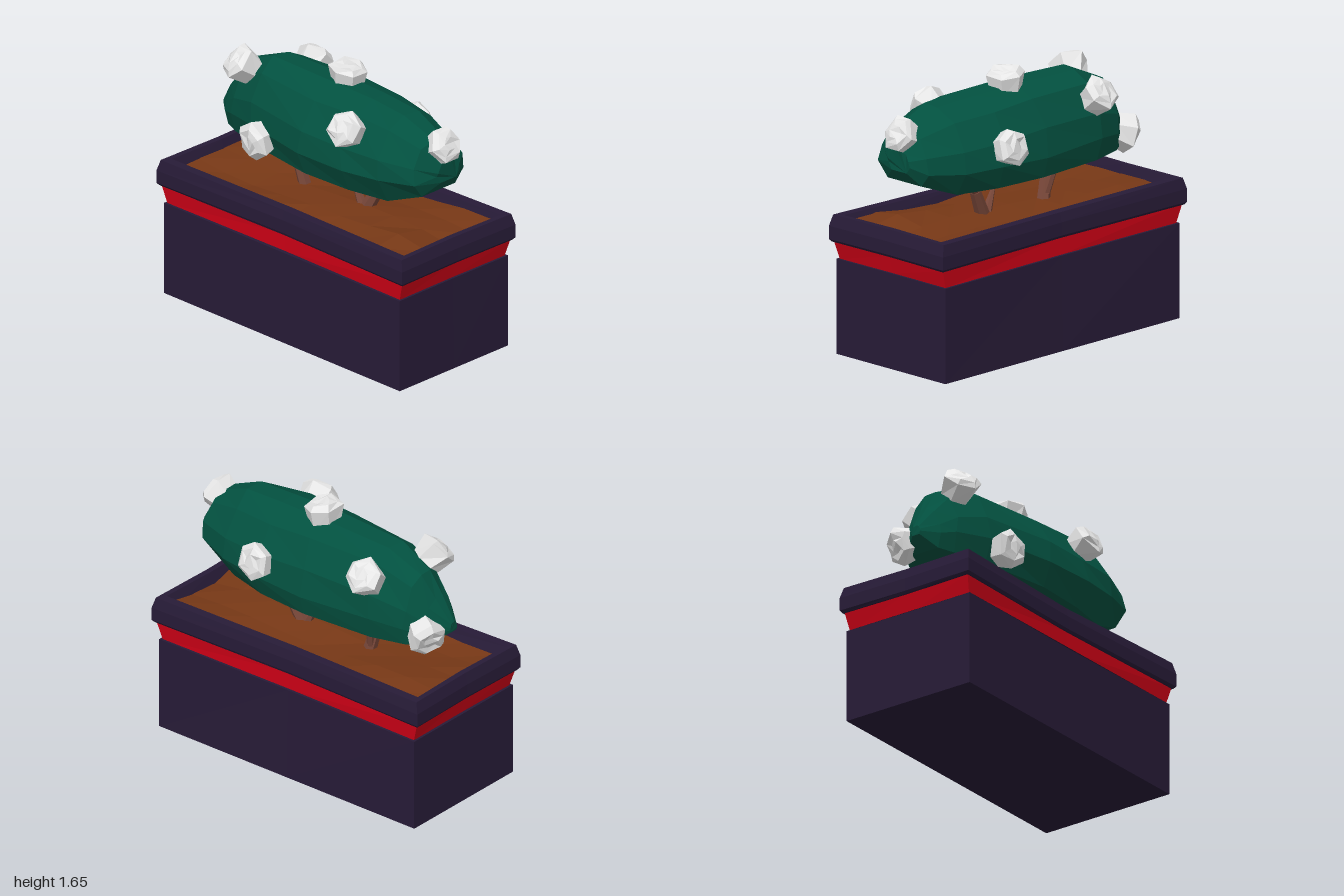
import * as THREE from 'three';

const mat = (name, color) => {
  const m = new THREE.MeshStandardMaterial({ color, flatShading: true });
  m.name = name;
  return m;
};

// Skin a list of equally sized point rings, with optional flat end caps
function loft(rings, capped = true) {
  const pos = [];
  const tri = (a, b, c) => pos.push(...a, ...b, ...c);
  const n = rings[0].length;
  for (let i = 0; i < rings.length - 1; i++) {
    for (let j = 0; j < n; j++) {
      const k = (j + 1) % n;
      tri(rings[i][j], rings[i][k], rings[i + 1][k]);
      tri(rings[i][j], rings[i + 1][k], rings[i + 1][j]);
    }
  }
  const last = rings[rings.length - 1];
  for (let j = 1; capped && j < n - 1; j++) {
    tri(rings[0][0], rings[0][j + 1], rings[0][j]);
    tri(last[0], last[j], last[j + 1]);
  }
  const g = new THREE.BufferGeometry();
  g.setAttribute('position', new THREE.Float32BufferAttribute(pos, 3));
  g.computeVertexNormals();
  return g;
}

// Rectangular ring whose long sides bow inward and may sag at the middle
const CORNERS = [[-1, 1], [0, 1], [1, 1], [1, 0], [1, -1], [0, -1], [-1, -1], [-1, 0]];
const rectRing = (hx, hz, y, bow = 0, sag = 0) => CORNERS.map(([x, z]) =>
  [x * (z === 0 ? hx - bow * 0.4 : hx), x === 0 ? y - sag : y, z * (x === 0 ? hz - bow : hz)]);

function random(seed) {
  let s = seed * 7919 + 13;
  return () => (s = (s * 16807) % 2147483647) / 2147483647 - 0.5;
}

// Tapered branch between two points
function branch(a, b, r0, r1) {
  const from = new THREE.Vector3(...a), dir = new THREE.Vector3(...b).sub(from);
  const g = new THREE.CylinderGeometry(r1, r0, dir.length(), 6);
  g.translate(0, dir.length() / 2, 0);
  g.applyQuaternion(new THREE.Quaternion().setFromUnitVectors(
    new THREE.Vector3(0, 1, 0), dir.clone().normalize()));
  return g.translate(...a);
}

// Chunky faceted blossom with a shallow crumpled top, pointing up +y
function blossomGeometry(seed) {
  const rnd = random(seed);
  rnd(); rnd();
  const profile = [[0.09, -0.1], [0.116, 0.025], [0.085, 0.052], [0.042, 0.056]];
  return loft(profile.map(([r, y], i) => Array.from({ length: 6 }, (_, j) => {
    const a = j * Math.PI / 3 + rnd() * 0.25;
    const rr = r * (1 + rnd() * 0.12);
    return [Math.sin(a) * rr, y + rnd() * (i > 1 ? 0.022 : 0.012), Math.cos(a) * rr];
  })));
}

export function createModel() {
  const root = new THREE.Group();
  const planterPurple = mat('planter purple', 0x271b37);
  const bandRed = mat('band red', 0xd00016);
  const soilBrown = mat('soil brown', 0x773816);
  const barkBrown = mat('bark brown', 0x7a483a);
  const leafGreen = mat('leaf green', 0x035140);
  const blossomWhite = mat('blossom white', 0xe6e6e6);
  const add = (name, geometry, material, parent = root) => {
    const m = new THREE.Mesh(geometry, material);
    m.name = name;
    parent.add(m);
    return m;
  };

  // Planter body, red band and bevelled hollow rim
  add('planterBody', loft([rectRing(0.96, 0.445, 0), rectRing(0.96, 0.445, 0.573, 0.008)]), planterPurple);
  add('redBand', loft([
    rectRing(0.945, 0.43, 0.57, 0.01),
    rectRing(0.98, 0.445, 0.685, 0.02),
  ], false), bandRed);
  add('rim', loft([
    rectRing(0.9, 0.38, 0.68, 0.02),
    rectRing(0.988, 0.453, 0.68, 0.02),
    rectRing(1.0, 0.465, 0.695, 0.025),
    rectRing(1.0, 0.465, 0.775, 0.025),
    rectRing(0.98, 0.45, 0.842, 0.025, 0.01),
    rectRing(0.945, 0.395, 0.842, 0.03, 0.01),
    rectRing(0.91, 0.355, 0.76, 0.015),
  ], false), planterPurple);

  // Lumpy soil
  const soil = new THREE.PlaneGeometry(1.88, 0.8, 8, 4).rotateX(-Math.PI / 2);
  const p = soil.attributes.position;
  for (let i = 0; i < p.count; i++) {
    const x = p.getX(i), z = p.getZ(i);
    const mound = 0.06 * Math.exp(-((x - 0.66) ** 2 + (z - 0.18) ** 2) / 0.05);
    p.setY(i, 0.785 + mound + 0.014 * Math.sin(x * 5.3 + z * 7) + 0.01 * Math.cos(z * 9 - x * 3));
  }
  add('soil', soil, soilBrown);

  // Forked trunks
  const trunks = new THREE.Group();
  trunks.name = 'trunks';
  root.add(trunks);
  [
    [[-0.27, 0.76, -0.02], [-0.31, 0.92, 0.0], 0.04, 0.033],
    [[-0.31, 0.92, 0.0], [-0.35, 1.06, 0.035], 0.033, 0.022],
    [[-0.28, 0.78, -0.02], [-0.33, 1.06, -0.09], 0.026, 0.02],
    [[0.22, 0.76, -0.02], [0.32, 0.95, -0.05], 0.045, 0.033],
    [[0.32, 0.95, -0.05], [0.44, 1.06, -0.09], 0.028, 0.018],
    [[0.32, 0.95, -0.05], [0.29, 1.06, -0.06], 0.025, 0.016],
    [[0.2, 0.78, -0.02], [0.115, 0.96, -0.01], 0.034, 0.006],
  ].forEach((args, i) => add('branch' + (i + 1), branch(...args), barkBrown, trunks));

  // Bush: cross-sections along x as [x, centre z, half width, bottom y, top y, bottom width]
  const outline = [[-0.88, 0], [-1, 0.26], [-0.93, 0.54], [-0.63, 0.86], [-0.2, 0.99],
    [0.2, 1], [0.62, 0.87], [0.95, 0.54], [1, 0.3], [0.84, 0]];
  const sections = [
    [-0.885, 0.0, 0.03, 1.09, 1.15, 1],
    [-0.79, -0.02, 0.13, 1.02, 1.29, 1],
    [-0.69, -0.03, 0.19, 1.015, 1.43, 1],
    [-0.47, -0.03, 0.26, 1.015, 1.53, 1],
    [0.0, -0.01, 0.32, 1.015, 1.54, 1],
    [0.34, -0.005, 0.318, 1.015, 1.535, 0.93],
    [0.61, 0.005, 0.28, 1.015, 1.52, 0.8],
    [0.84, 0.01, 0.2, 1.1, 1.43, 0.8],
    [0.905, -0.01, 0.09, 1.18, 1.31, 0.8],
  ];
  const rnd = random(5);
  const lastPoint = outline.length - 1;
  add('bush', loft(sections.map(([x, zc, hw, y0, y1, bw]) => outline.map(([u, v], i) => {
    const floor = i === 0 || i === lastPoint;
    const j = floor ? 0 : Math.min(0.03, hw * 0.1);
    return [x + rnd() * j * 1.5, y0 + v * (y1 - y0) + (v > 0.95 ? 0 : rnd() * j),
      zc + u * hw * (floor ? bw : 1) + rnd() * j * 0.5];
  }))), leafGreen);

  // Blossoms: position and the direction each one faces
  const blossoms = new THREE.Group();
  blossoms.name = 'blossoms';
  root.add(blossoms);
  [
    [[-0.64, 1.47, 0.14], [-0.35, 0.65, 0.65]],
    [[0.06, 1.58, -0.04], [0.08, 1, -0.03]],
    [[0.37, 1.425, 0.29], [0.05, 0.55, 0.85]],
    [[0.875, 1.39, 0], [0.85, 0.5, 0]],
    [[-0.37, 1.11, 0.28], [-0.05, -0.08, 1]],
    [[-0.81, 1.09, -0.15], [-0.85, -0.35, -0.4]],
    [[-0.46, 1.42, -0.29], [-0.1, 0.65, -0.75]],
    [[0.32, 1.27, -0.34], [0.05, 0.3, -0.95]],
  ].forEach(([at, dir], i) => {
    const b = add('blossom' + (i + 1), blossomGeometry(i + 1), blossomWhite, blossoms);
    b.position.set(...at);
    b.quaternion.setFromUnitVectors(new THREE.Vector3(0, 1, 0), new THREE.Vector3(...dir).normalize());
  });

  return root;
}
